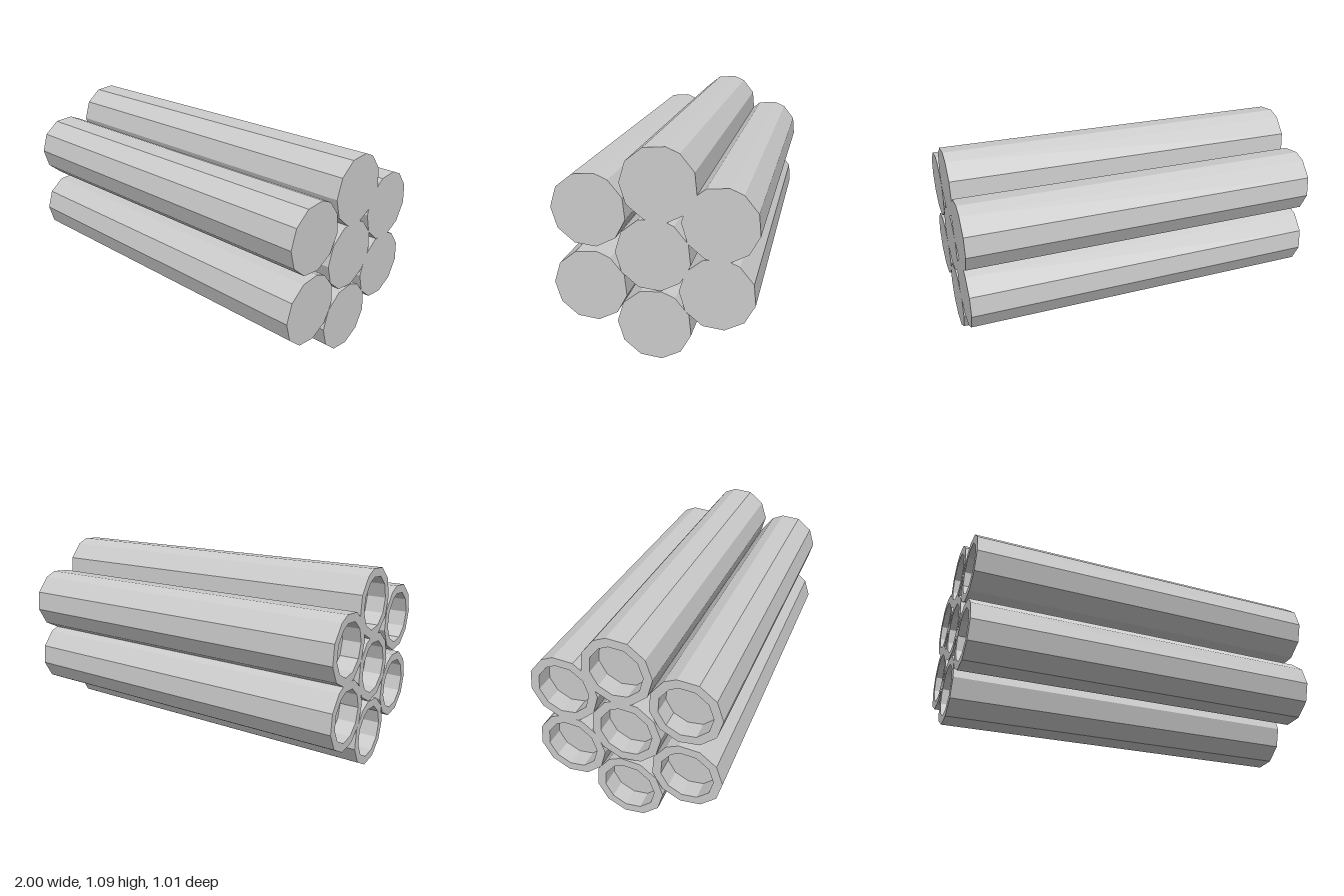
import * as THREE from 'three';

const RADIUS = 0.187, INNER = 0.14, SIDES = 11, STEP = 33.8, START = 56;

// Tube section from the closed end (+x) to the floor of the recess (-x): [x, radius]
const PROFILE = [[1, 0], [1, RADIUS], [-1, RADIUS], [-1, INNER], [-0.9, INNER], [-0.9, 0]];

// Tube centres: [name, y, z]
const TUBES = [
  ['topTube', 0.908, -0.027],
  ['upperFrontTube', 0.762, 0.318],
  ['upperBackTube', 0.732, -0.322],
  ['centreTube', 0.557, 0.004],
  ['lowerFrontTube', 0.369, 0.321],
  ['lowerBackTube', 0.381, -0.308],
  ['bottomTube', 0.187, 0.003],
];

// Ten equal facets and one narrow closing facet, swept along the profile
function tubeGeometry() {
  const point = (i, j) => {
    const a = THREE.MathUtils.degToRad(START - STEP * (i % SIDES));
    const [x, r] = PROFILE[j];
    return [x, r * Math.sin(a), -r * Math.cos(a)];
  };
  const positions = [];
  for (let j = 0; j < PROFILE.length - 1; j++) {
    for (let i = 0; i < SIDES; i++) {
      const a = point(i, j), b = point(i, j + 1), c = point(i + 1, j + 1), d = point(i + 1, j);
      if (PROFILE[j][1] > 0) positions.push(...a, ...d, ...(PROFILE[j + 1][1] > 0 ? c : b));
      if (PROFILE[j + 1][1] > 0) positions.push(...a, ...c, ...b);
    }
  }
  const geometry = new THREE.BufferGeometry();
  geometry.setAttribute('position', new THREE.Float32BufferAttribute(positions, 3));
  geometry.computeVertexNormals();
  return geometry;
}

export function createModel() {
  const model = new THREE.Group();
  model.name = 'tubeBundle';
  const geometry = tubeGeometry();
  const material = new THREE.MeshStandardMaterial({ color: 0xcccccc, flatShading: true });
  for (const [name, y, z] of TUBES) {
    const tube = new THREE.Mesh(geometry, material);
    tube.name = name;
    tube.position.set(0, y, z);
    model.add(tube);
  }
  return model;
}
